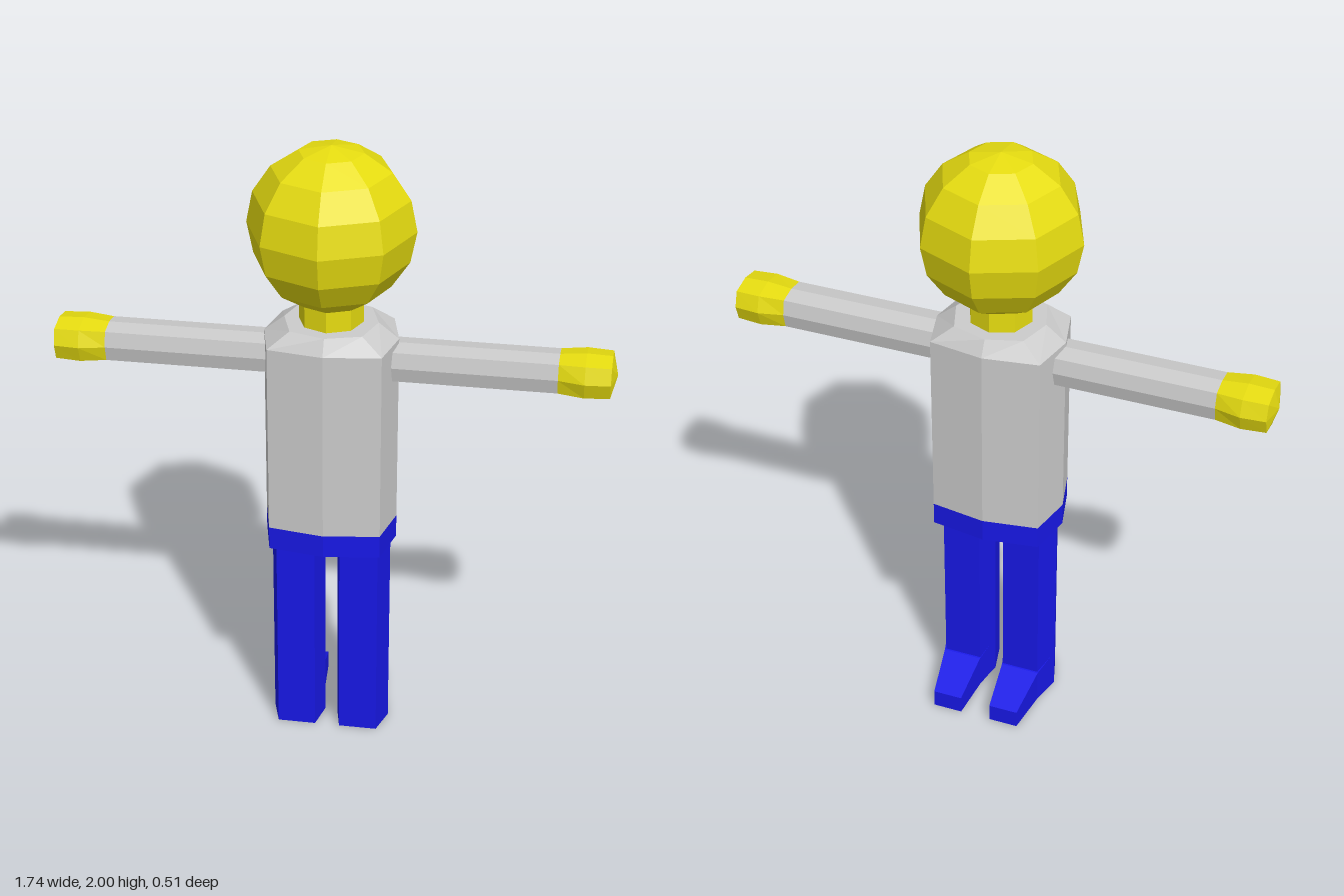
import * as THREE from 'three';

const material = (color) => new THREE.MeshStandardMaterial({ color, flatShading: true });

// Closed solid through cross-sections stacked along y; each section is { y, pts: [[x, z], ...] }
function loft(sections, domeTop = 0) {
  const pos = [];
  const rings = sections.map(({ y, pts }) => pts.map(([x, z]) => new THREE.Vector3(x, y, z)));
  const tri = (...vs) => vs.forEach((v) => pos.push(v.x, v.y, v.z));
  const n = rings[0].length;
  const middle = (ring) => ring.reduce((s, v) => s.add(v), new THREE.Vector3()).divideScalar(n);
  const first = rings[0];
  const last = rings[rings.length - 1];
  const low = middle(first);
  const high = middle(last);
  high.y += domeTop;
  for (let i = 0; i < n; i++) {
    const j = (i + 1) % n;
    for (let r = 0; r + 1 < rings.length; r++) {
      const a = rings[r];
      const b = rings[r + 1];
      tri(a[i], a[j], b[j]);
      tri(a[i], b[j], b[i]);
    }
    tri(low, first[j], first[i]);
    tri(high, last[i], last[j]);
  }
  const geometry = new THREE.BufferGeometry();
  geometry.setAttribute('position', new THREE.Float32BufferAttribute(pos, 3));
  geometry.computeVertexNormals();
  return geometry;
}

// Boxy octagon with half sizes a (x) and b (z); k sets how square the corners are
const octagon = (y, a, b, k = 0.84) => ({
  y,
  pts: [[0, b], [a * k, b * k], [a, 0], [a * k, -b * k],
    [0, -b], [-a * k, -b * k], [-a, 0], [-a * k, b * k]],
});

// Hexagonal leg section
const hexagon = (y) => ({
  y,
  pts: [[-0.065, 0.09], [0.057, 0.09], [0.085, 0], [0.057, -0.09], [-0.065, -0.09], [-0.085, 0]],
});

// Foot section: width from x0 to x1, height h
const footSection = (y, x0, x1, h) => ({ y, pts: [[x0, h], [x1, h], [x1, 0], [x0, 0]] });

export function createModel() {
  const model = new THREE.Group();
  const skin = material(0xe6dc10);
  const shirt = material(0xcccccc);
  const trousers = material(0x1818e6);

  const add = (name, geometry, mat, parent = model) => {
    const mesh = new THREE.Mesh(geometry, mat);
    mesh.name = name;
    parent.add(mesh);
    return mesh;
  };

  // Head and neck
  add('head', new THREE.SphereGeometry(0.257, 8, 8), skin).position.y = 1.743;
  add('neck', new THREE.CylinderGeometry(0.1, 0.1, 0.14, 8), skin).position.y = 1.49;

  // Torso with sloped shoulders, and the hips below it
  add('torso', loft([
    octagon(0.77, 0.208, 0.166),
    octagon(1.39, 0.208, 0.166),
    octagon(1.44, 0.145, 0.138, 0.76),
  ]), shirt);
  add('hips', loft([octagon(0.695, 0.208, 0.166), octagon(0.77, 0.208, 0.166)]), trousers);

  for (const side of [1, -1]) {
    const label = side > 0 ? 'left' : 'right';

    // Arm held straight out, with a blunt fist
    const arm = new THREE.Group();
    arm.name = label + 'Arm';
    arm.position.set(0, 1.32, -0.003);
    arm.rotation.z = -side * Math.PI / 2;
    model.add(arm);
    add(label + 'Sleeve', loft([octagon(0.16, 0.057, 0.068), octagon(0.695, 0.057, 0.068)]), shirt, arm);
    add(label + 'Hand', loft([
      octagon(0.695, 0.057, 0.068),
      octagon(0.775, 0.065, 0.086, 0.8),
      octagon(0.853, 0.062, 0.08, 0.8),
    ], 0.018), skin, arm);

    // Leg, mirrored by reversing the section order
    const mirror = ({ y, pts }) => ({
      y,
      pts: side > 0 ? pts : pts.map(([x, z]) => [-x, z]).reverse(),
    });
    const leg = new THREE.Group();
    leg.name = label + 'Leg';
    leg.position.x = side * 0.105;
    model.add(leg);
    add(label + 'Trouser', loft([hexagon(0), hexagon(0.71)].map(mirror)), trousers, leg);

    // Wedge foot reaching back along -z
    const foot = loft([
      footSection(0, -0.084, 0.084, 0.135),
      footSection(0.095, -0.066, 0.06, 0.115),
      footSection(0.242, -0.055, 0.04, 0.06),
    ].map(mirror));
    add(label + 'Foot', foot.rotateX(-Math.PI / 2), trousers, leg);
  }
  return model;
}
